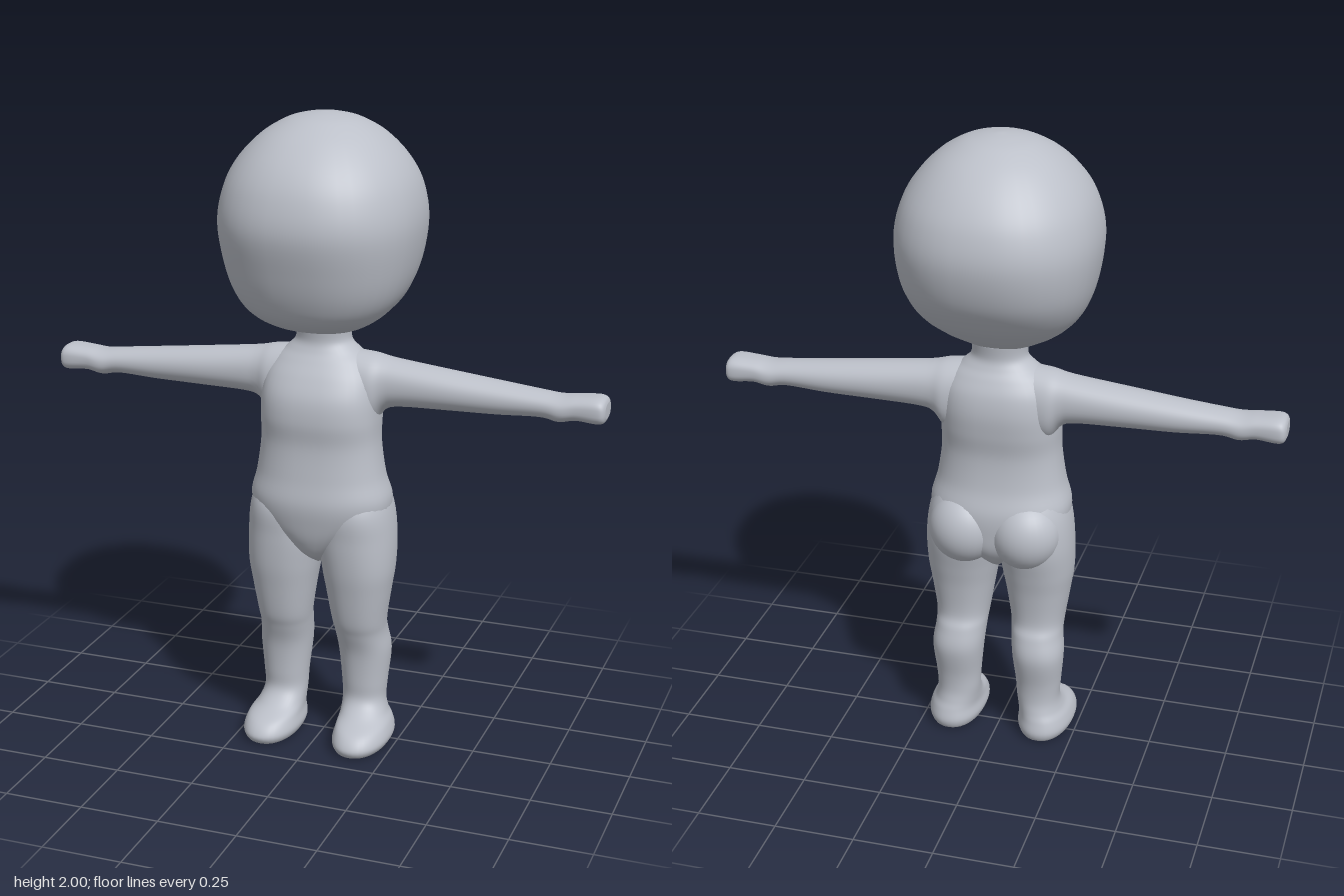
import * as THREE from 'three';

const RING = 40, STEPS = 6;

// Superellipse loft. Section: [t, aMin, aMax, bMin, bMax, power].
// Axis 'x': t=x, a=y, b=z. Axis 'y': t=y, a=z, b=x.
function loft(axis, sections) {
  const put = (t, a, b) => (axis === 'x' ? [t, a, b] : [b, t, a]);
  const n = sections.length, rows = [];
  const at = (i) => sections[Math.max(0, Math.min(n - 1, i))];
  for (let i = 0; i < n - 1; i++) {
    for (let s = 0; s < STEPS; s++) {
      const u = s / STEPS;
      rows.push(at(i).map((p1, k) => {
        const p0 = at(i - 1)[k], p2 = at(i + 1)[k], p3 = at(i + 2)[k];
        return 0.5 * (2 * p1 + (p2 - p0) * u + (2 * p0 - 5 * p1 + 4 * p2 - p3) * u * u
          + (3 * p1 - p0 - 3 * p2 + p3) * u * u * u);
      }));
    }
  }
  rows.push(at(n - 1));
  const pos = [], idx = [];
  for (const [t, a0, a1, b0, b1, p] of rows) {
    for (let j = 0; j < RING; j++) {
      const th = (j / RING) * Math.PI * 2, c = Math.cos(th), s = Math.sin(th);
      const a = Math.sign(c) * Math.abs(c) ** (2 / p), b = Math.sign(s) * Math.abs(s) ** (2 / p);
      pos.push(...put(t, (a0 + a1) / 2 + a * (a1 - a0) / 2, (b0 + b1) / 2 + b * (b1 - b0) / 2));
    }
  }
  for (let i = 0; i < rows.length - 1; i++) {
    for (let j = 0; j < RING; j++) {
      const k = (j + 1) % RING, a = i * RING + j, b = i * RING + k;
      idx.push(a, b, a + RING, b, b + RING, a + RING);
    }
  }
  // end caps
  const first = pos.length / 3, base = (rows.length - 1) * RING;
  for (const [t, a0, a1, b0, b1] of [rows[0], rows[rows.length - 1]]) {
    pos.push(...put(t, (a0 + a1) / 2, (b0 + b1) / 2));
  }
  for (let j = 0; j < RING; j++) {
    const k = (j + 1) % RING;
    idx.push(first, k, j, first + 1, base + j, base + k);
  }
  const g = new THREE.BufferGeometry();
  g.setAttribute('position', new THREE.Float32BufferAttribute(pos, 3));
  g.setIndex(idx);
  g.computeVertexNormals();
  return g;
}

// Mirrored copy across x with corner order restored
function mirror(geo) {
  const g = geo.clone().scale(-1, 1, 1);
  const a = g.index.array;
  for (let i = 0; i < a.length; i += 3) [a[i], a[i + 1]] = [a[i + 1], a[i]];
  g.computeVertexNormals();
  return g;
}

export function createModel() {
  const model = new THREE.Group();
  const skin = new THREE.MeshStandardMaterial({ color: 0xbcc0c9 });
  skin.name = 'paleGrey';
  const add = (name, geo) => {
    const m = new THREE.Mesh(geo, skin);
    m.name = name;
    model.add(m);
  };
  const pair = (name, geo) => {
    add(name + 'Left', geo);
    add(name + 'Right', mirror(geo));
  };
  // Section symmetric in x: height, back, front, half width, power
  const sym = (rows) => rows.map(([y, z0, z1, w, p]) => [y, z0, z1, -w, w, p]);

  // Large rounded head, jaw forward and nape cut in
  add('head', loft('y', sym([
    [1.338, -0.01, 0.03, 0.02, 2],
    [1.345, -0.05, 0.08, 0.08, 2.1],
    [1.37, -0.095, 0.165, 0.145, 2.2],
    [1.41, -0.155, 0.23, 0.205, 2.3],
    [1.47, -0.225, 0.268, 0.255, 2.35],
    [1.56, -0.29, 0.3, 0.288, 2.35],
    [1.68, -0.322, 0.328, 0.305, 2.3],
    [1.78, -0.308, 0.312, 0.291, 2.25],
    [1.86, -0.265, 0.27, 0.253, 2.2],
    [1.93, -0.198, 0.2, 0.19, 2.2],
    [1.975, -0.125, 0.125, 0.12, 2.1],
    [1.993, -0.065, 0.065, 0.062, 2],
    [2.0, -0.008, 0.008, 0.008, 2],
  ])));

  // Torso from the crotch to the neck
  add('torso', loft('y', sym([
    [0.605, -0.04, 0.06, 0.015, 2],
    [0.64, -0.09, 0.115, 0.06, 2],
    [0.69, -0.125, 0.145, 0.135, 2.1],
    [0.75, -0.135, 0.162, 0.205, 2.2],
    [0.82, -0.135, 0.172, 0.222, 2.3],
    [0.9, -0.115, 0.163, 0.202, 2.3],
    [1.0, -0.108, 0.156, 0.187, 2.4],
    [1.08, -0.12, 0.164, 0.186, 2.5],
    [1.15, -0.126, 0.157, 0.184, 2.5],
    [1.21, -0.118, 0.13, 0.175, 2.4],
    [1.255, -0.098, 0.1, 0.15, 2.2],
    [1.285, -0.08, 0.08, 0.115, 2.1],
    [1.315, -0.07, 0.07, 0.088, 2],
    [1.36, -0.075, 0.075, 0.088, 2],
  ])));

  // Arms held straight out, with mitten hands
  pair('arm', loft('x', [
    [0.1, 1.06, 1.285, -0.085, 0.085, 2.2],
    [0.16, 1.06, 1.279, -0.09, 0.085, 2.2],
    [0.2, 1.105, 1.27, -0.081, 0.071, 2.2],
    [0.25, 1.12, 1.262, -0.078, 0.066, 2.2],
    [0.4, 1.124, 1.245, -0.074, 0.062, 2.1],
    [0.55, 1.127, 1.228, -0.068, 0.055, 2.1],
    [0.68, 1.134, 1.214, -0.06, 0.051, 2.1],
    [0.74, 1.126, 1.208, -0.062, 0.055, 2.2],
    [0.79, 1.136, 1.211, -0.06, 0.051, 2.5],
    [0.85, 1.132, 1.214, -0.063, 0.052, 2.7],
    [0.872, 1.136, 1.208, -0.058, 0.047, 2.6],
    [0.88, 1.15, 1.195, -0.042, 0.032, 2.4],
  ]));

  // Leg and foot: height, back, front, inner x, outer x
  pair('leg', loft('y', [
    [0.005, -0.085, 0.17, 0.085, 0.212, 2.2],
    [0.01, -0.1, 0.188, 0.07, 0.228, 2.2],
    [0.035, -0.108, 0.197, 0.06, 0.239, 2.2],
    [0.07, -0.1, 0.168, 0.065, 0.23, 2.2],
    [0.1, -0.09, 0.1, 0.066, 0.212, 2.1],
    [0.14, -0.083, 0.056, 0.064, 0.202, 2.1],
    [0.2, -0.087, 0.054, 0.06, 0.206, 2.1],
    [0.3, -0.106, 0.063, 0.05, 0.214, 2.2],
    [0.37, -0.093, 0.085, 0.044, 0.207, 2.2],
    [0.42, -0.076, 0.103, 0.038, 0.209, 2.2],
    [0.52, -0.086, 0.123, 0.022, 0.224, 2.2],
    [0.6, -0.103, 0.137, 0.008, 0.235, 2.2],
    [0.7, -0.125, 0.145, -0.005, 0.235, 2.2],
    [0.8, -0.12, 0.145, 0.01, 0.222, 2.2],
    [0.9, -0.07, 0.09, 0.05, 0.19, 2.1],
  ]));

  // Rounded seat
  const seat = new THREE.SphereGeometry(1, 32, 24).scale(0.112, 0.118, 0.105);
  pair('buttock', seat.translate(0.098, 0.745, -0.06));
  return model;
}
